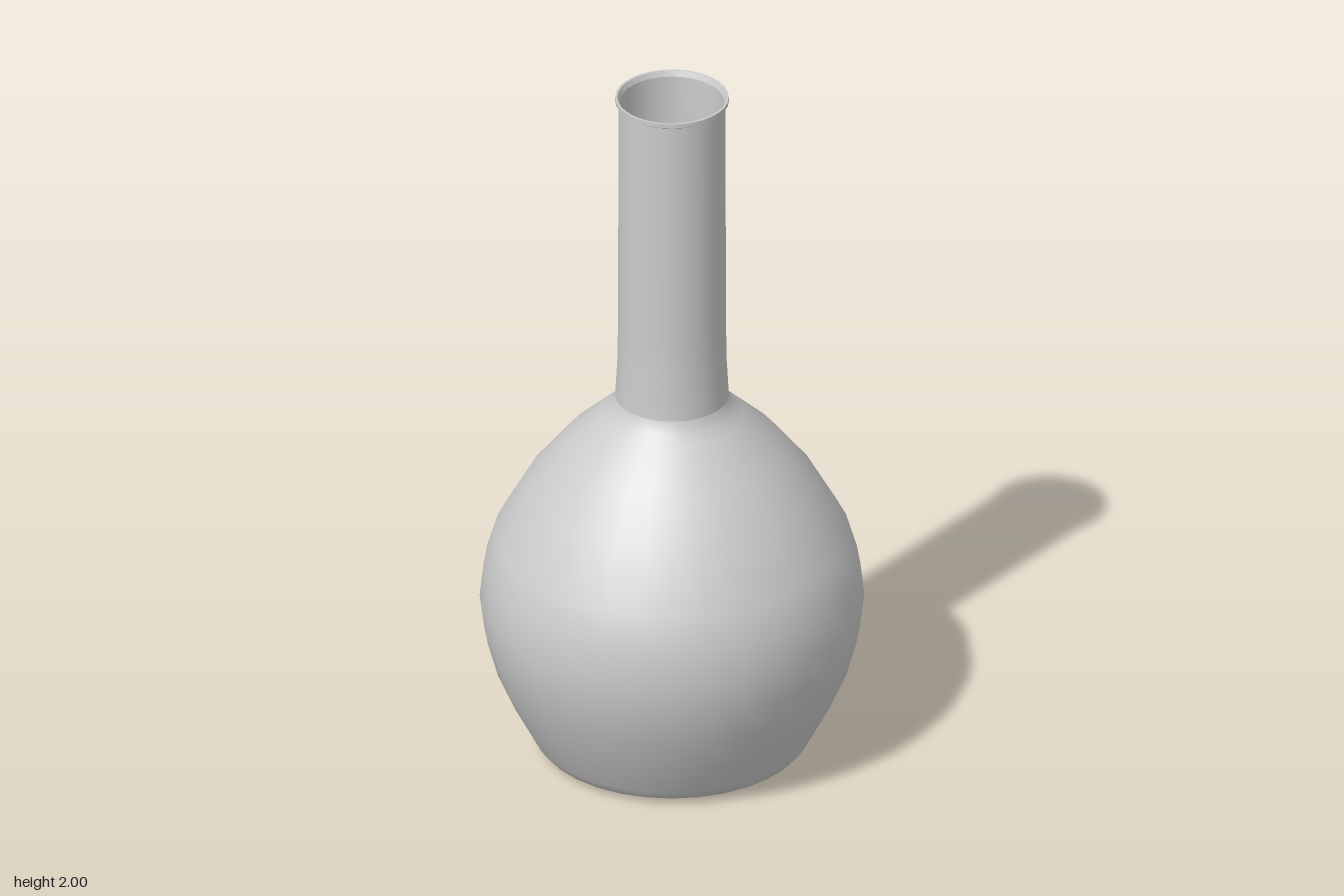
import * as THREE from 'three';

const SIDES = 32;

// Turned surface from [radius, height] pairs; flats face the axes.
function turned(name, profile, material) {
  const points = profile.map(([r, y]) => new THREE.Vector2(r, y));
  const geometry = new THREE.LatheGeometry(points, SIDES, Math.PI / SIDES);
  const mesh = new THREE.Mesh(geometry, material);
  mesh.name = name;
  return mesh;
}

export function createModel() {
  const flask = new THREE.Group();
  flask.name = 'flask';
  const grey = new THREE.MeshStandardMaterial({ color: 0xcccccc, side: THREE.DoubleSide });

  // Rounded belly, from the base edge to the shoulder
  const belly = [
    [0.30, 0], [0.34, 0.006], [0.365, 0.018], [0.385, 0.045], [0.435, 0.14],
    [0.483, 0.25], [0.511, 0.35], [0.524, 0.45], [0.513, 0.55], [0.483, 0.65],
    [0.398, 0.80], [0.302, 0.92], [0.20, 1.015], [0.168, 1.042], [0.155, 1.075],
  ];
  // Straight neck, slightly wider at the foot
  const neck = [[0.155, 1.075], [0.149, 1.18], [0.147, 1.3], [0.146, 1.8], [0.146, 1.982]];

  flask.add(turned('base', [[0, 0], [0.30, 0]], grey));
  flask.add(turned('belly', belly, grey));
  flask.add(turned('neck', neck, grey));

  // Thin lip around the mouth
  const lip = [[0.146, 1.982], [0.155, 1.988], [0.155, 2], [0.149, 2], [0.142, 1.985]];
  for (let i = 0; i < lip.length - 1; i++) {
    flask.add(turned('lip', [lip[i], lip[i + 1]], grey));
  }

  // Inner wall, running down from the mouth to the inside floor
  const wall = 0.006;
  const inner = [...belly.slice(1), ...neck.slice(1, -1)]
    .map(([r, y]) => [r - wall, y + wall])
    .reverse();
  flask.add(turned('innerWall', [[0.142, 1.985], ...inner], grey));
  const [floorRadius, floorHeight] = inner[inner.length - 1];
  flask.add(turned('innerFloor', [[floorRadius, floorHeight], [0, floorHeight]], grey));

  return flask;
}
